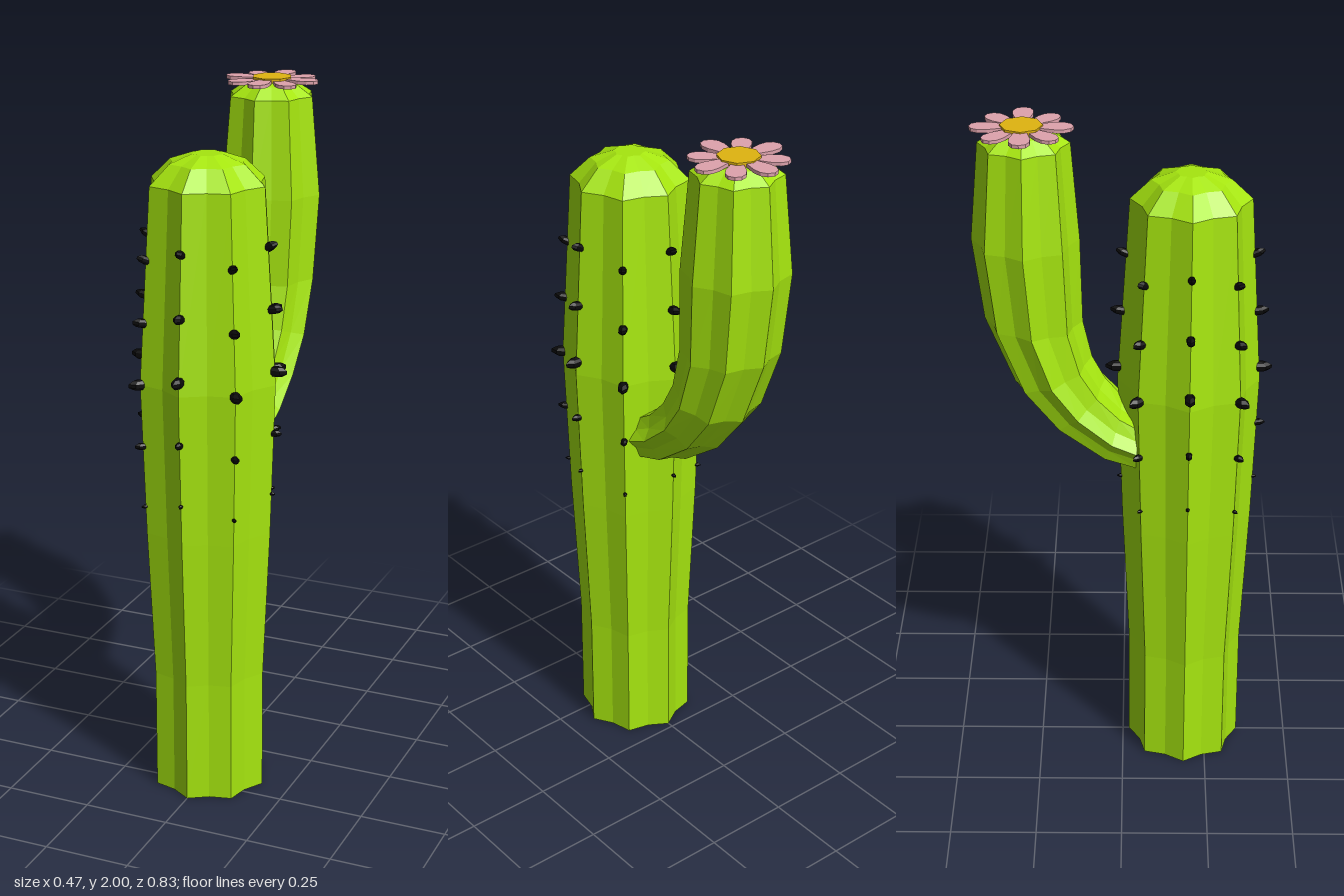
import * as THREE from 'three';

const paint = (color) => new THREE.MeshStandardMaterial({ color, flatShading: true });
const green = paint(0xa6e60f), pink = paint(0xdfa3ad), yellow = paint(0xe0b410), black = paint(0x0a0a0a);
const RIBS = 8, SIDES = RIBS * 2, VALLEY = 0.865;
const TRUNK_Z = 0.185;

// Ribbed column through rings [frontZ, frontY, backZ, backY, halfWidth], capped at both ends
function ribbedColumn(name, rings) {
  const pos = [], idx = [];
  const center = ([fz, fy, bz, by]) => [0, (fy + by) / 2, (fz + bz) / 2];
  for (const ring of rings) {
    const [fz, fy, bz, by, w] = ring;
    const [, cy, cz] = center(ring);
    for (let i = 0; i < SIDES; i++) {
      const a = (i / SIDES) * Math.PI * 2, k = i % 2 ? VALLEY : 1;
      const s = Math.sin(a) * k;
      pos.push(Math.cos(a) * k * w, cy + s * (by - fy) / 2, cz + s * (bz - fz) / 2);
    }
  }
  const last = (rings.length - 1) * SIDES, start = rings.length * SIDES, end = start + 1;
  pos.push(...center(rings[0]), ...center(rings[rings.length - 1]));
  for (let i = 0; i < SIDES; i++) {
    const j = (i + 1) % SIDES;
    for (let r = 0; r < last; r += SIDES) {
      idx.push(r + i, r + j, r + SIDES + j, r + i, r + SIDES + j, r + SIDES + i);
    }
    idx.push(start, j, i, end, last + i, last + j);
  }
  const geo = new THREE.BufferGeometry();
  geo.setAttribute('position', new THREE.Float32BufferAttribute(pos, 3));
  geo.setIndex(idx);
  const flat = geo.toNonIndexed();
  flat.computeVertexNormals();
  const mesh = new THREE.Mesh(flat, green);
  mesh.name = name;
  return mesh;
}

// Rows of spines sitting on the trunk ribs: [y, rib radius, size, upward tilt]
function makeSpines() {
  const spines = new THREE.Group();
  spines.name = 'spines';
  const geo = new THREE.SphereGeometry(1, 6, 5).scale(0.036, 0.016, 0.016);
  const rows = [
    [0.92, 0.19, 0.35, 0], [1.1, 0.197, 0.65, 0.05], [1.28, 0.2, 1, 0],
    [1.455, 0.191, 0.85, 0.15], [1.63, 0.18, 0.75, 0.4],
  ];
  for (const [y, r, size, tilt] of rows) {
    for (let i = 0; i < RIBS; i++) {
      const a = (i / RIBS) * Math.PI * 2;
      const spine = new THREE.Mesh(geo, black);
      spine.name = 'spine';
      spine.position.set(Math.cos(a) * r, y - (i % 2) * 0.04, -Math.sin(a) * r);
      spine.rotation.set(0, a, tilt);
      spine.scale.setScalar(size);
      spines.add(spine);
    }
  }
  spines.position.z = TRUNK_Z;
  return spines;
}

// Flat eight-petal flower
function makeFlower() {
  const flower = new THREE.Group();
  flower.name = 'flower';
  const half = [[0.03, 0.015], [0.06, 0.02], [0.09, 0.028], [0.115, 0.028], [0.133, 0.018]];
  const outline = [...half, [0.14, 0], ...half.map(([x, y]) => [x, -y]).reverse()];
  const shape = new THREE.Shape(outline.map(([x, y]) => new THREE.Vector2(x, y)));
  const petalGeo = new THREE.ExtrudeGeometry(shape, { depth: 0.01, bevelEnabled: false });
  petalGeo.rotateX(-Math.PI / 2);
  for (let i = 0; i < 8; i++) {
    const petal = new THREE.Mesh(petalGeo, pink);
    petal.name = 'petal';
    petal.rotation.y = (i / 8) * Math.PI * 2;
    petal.position.y = i % 2 ? -0.002 : 0;
    petal.scale.setScalar(i % 2 ? 0.96 : 1);
    flower.add(petal);
  }
  const heart = new THREE.Mesh(new THREE.CylinderGeometry(0.058, 0.058, 0.012, 8), yellow);
  heart.name = 'flowerCenter';
  heart.position.y = 0.008;
  flower.add(heart);
  flower.position.set(0, 1.986, -0.27);
  return flower;
}

export function createModel() {
  const model = new THREE.Group();
  model.name = 'cactus';

  // Trunk: [radius, height]
  const trunkProfile = [
    [0.167, 0], [0.167, 0.36], [0.187, 0.8], [0.201, 1.24], [0.167, 1.79], [0.11, 1.845], [0.045, 1.868],
  ];
  const trunk = ribbedColumn('trunk', trunkProfile.map(([r, y]) => [r, y, -r, y, r]));
  trunk.position.z = TRUNK_Z;

  // Arm growing from the back and bending upward
  const arm = ribbedColumn('arm', [
    [0.04, 1.15, 0.04, 0.97, 0.127],
    [0, 1.18, -0.06, 1.0, 0.127],
    [-0.05, 1.24, -0.2, 1.1, 0.13],
    [-0.087, 1.31, -0.305, 1.23, 0.135],
    [-0.112, 1.42, -0.385, 1.43, 0.14],
    [-0.118, 1.67, -0.415, 1.67, 0.15],
    [-0.14, 1.95, -0.39, 1.95, 0.125],
    [-0.185, 1.98, -0.345, 1.98, 0.08],
    [-0.23, 1.992, -0.3, 1.992, 0.035],
  ]);

  model.add(trunk, arm, makeSpines(), makeFlower());
  return model;
}
